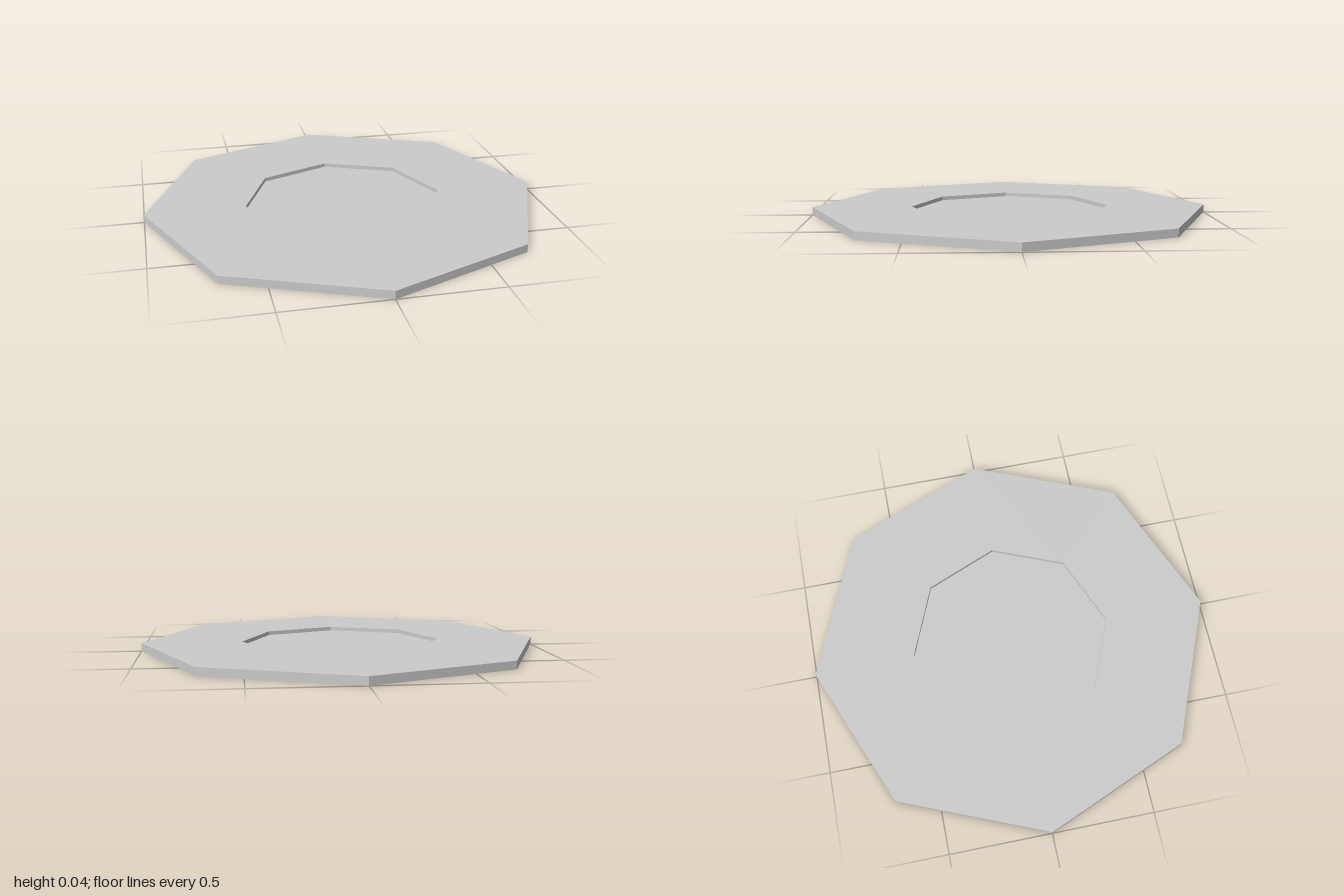
import * as THREE from 'three';

const SIDES = 8, RADIUS = 1, HEIGHT = 0.04;
const RECESS_RADIUS = 0.5, RECESS_FLOOR = 0.02;

export function createModel() {
  const group = new THREE.Group();
  group.name = 'octagonalPlate';

  // Closed section: underside, outer wall, rim, recess wall, recess floor
  const profile = [
    [0, 0], [RADIUS, 0], [RADIUS, HEIGHT],
    [RECESS_RADIUS, HEIGHT], [RECESS_RADIUS, RECESS_FLOOR], [0, RECESS_FLOOR],
  ].map(([r, y]) => new THREE.Vector2(r, y));

  // Eight-sided plate, corners on the x and z axes, with faceted normals
  const geometry = new THREE.LatheGeometry(profile, SIDES).toNonIndexed();
  geometry.computeVertexNormals();

  const material = new THREE.MeshStandardMaterial({ color: 0xcccccc, flatShading: true });
  const plate = new THREE.Mesh(geometry, material);
  plate.name = 'recessedPlate';
  group.add(plate);
  return group;
}
